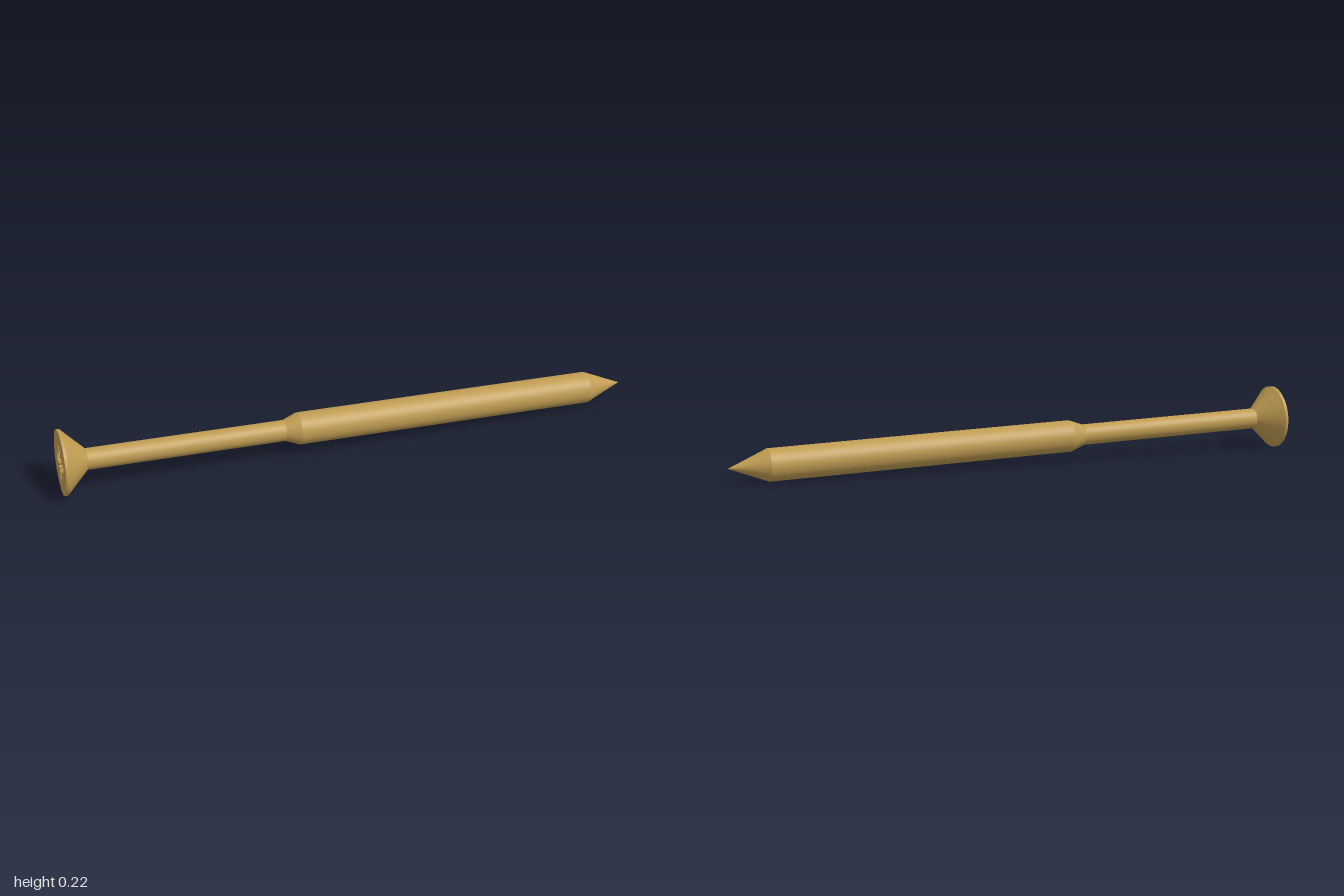
import * as THREE from 'three';

const brass = new THREE.MeshStandardMaterial({ color: 0xc09c52 });
brass.name = 'brass';

const SIDES = 64;
const HEAD_R = 0.11, NECK_R = 0.036, BODY_R = 0.055, LENGTH = 2.012;

export function createModel() {
  const model = new THREE.Group();
  model.name = 'screw';

  const add = (name, geometry) => {
    const mesh = new THREE.Mesh(geometry, brass);
    mesh.name = name;
    model.add(mesh);
  };

  // Turned sections, each [radius, distance from the head face]; separate lathes keep edges crisp
  const turned = (name, profile) =>
    add(name, new THREE.LatheGeometry(profile.map(([r, s]) => new THREE.Vector2(r, s)), SIDES));
  turned('headRim', [[HEAD_R, 0], [HEAD_R, 0.01]]);
  turned('headCone', [[HEAD_R, 0.01], [NECK_R, 0.085]]);
  turned('neck', [[NECK_R, 0.085], [NECK_R, 0.76]]);
  turned('shoulder', [[NECK_R, 0.76], [BODY_R, 0.81]]);
  turned('body', [[BODY_R, 0.81], [BODY_R, 1.878]]);
  turned('tip', [[BODY_R, 1.878], [0, LENGTH]]);

  // Cross outline with small diagonal notches, one quarter repeated four times
  const quarter = [[0.06, -0.013], [0.06, 0.013], [0.021, 0.013], [0.031, 0.023], [0.023, 0.031], [0.013, 0.021]];
  const outline = [];
  for (let k = 0; k < 4; k++) {
    for (const [x, y] of quarter) {
      outline.push(new THREE.Vector2(x, y).rotateAround(new THREE.Vector2(), k * Math.PI / 2 + 0.3));
    }
  }

  // Flat head face with the recess cut out
  const disc = new THREE.Shape().absarc(0, 0, HEAD_R, 0, Math.PI * 2);
  disc.holes.push(new THREE.Path(outline));
  add('headFace', new THREE.ShapeGeometry(disc, SIDES / 2).rotateX(Math.PI / 2));

  // Tapered recess walls and floor
  const depth = 0.07, taper = 0.45;
  const walls = [];
  outline.forEach((a, i) => {
    const b = outline[(i + 1) % outline.length];
    const t1 = [a.x, 0, a.y], t2 = [b.x, 0, b.y];
    const b1 = [a.x * taper, depth, a.y * taper], b2 = [b.x * taper, depth, b.y * taper];
    walls.push(...t1, ...t2, ...b1, ...t2, ...b2, ...b1);
  });
  const wallGeometry = new THREE.BufferGeometry();
  wallGeometry.setAttribute('position', new THREE.Float32BufferAttribute(walls, 3));
  wallGeometry.computeVertexNormals();
  add('recessWalls', wallGeometry);

  const floor = new THREE.Shape(outline.map(p => p.clone().multiplyScalar(taper)));
  add('recessFloor', new THREE.ShapeGeometry(floor).rotateX(Math.PI / 2).translate(0, depth, 0));

  // Lay the screw down from head to tip
  const head = new THREE.Vector3(-0.977, 0.112, -0.17);
  const tip = new THREE.Vector3(0.99, 0.056, 0.25);
  model.quaternion.setFromUnitVectors(new THREE.Vector3(0, 1, 0), tip.sub(head).normalize());
  model.position.copy(head);

  const root = new THREE.Group();
  root.add(model);
  return root;
}
